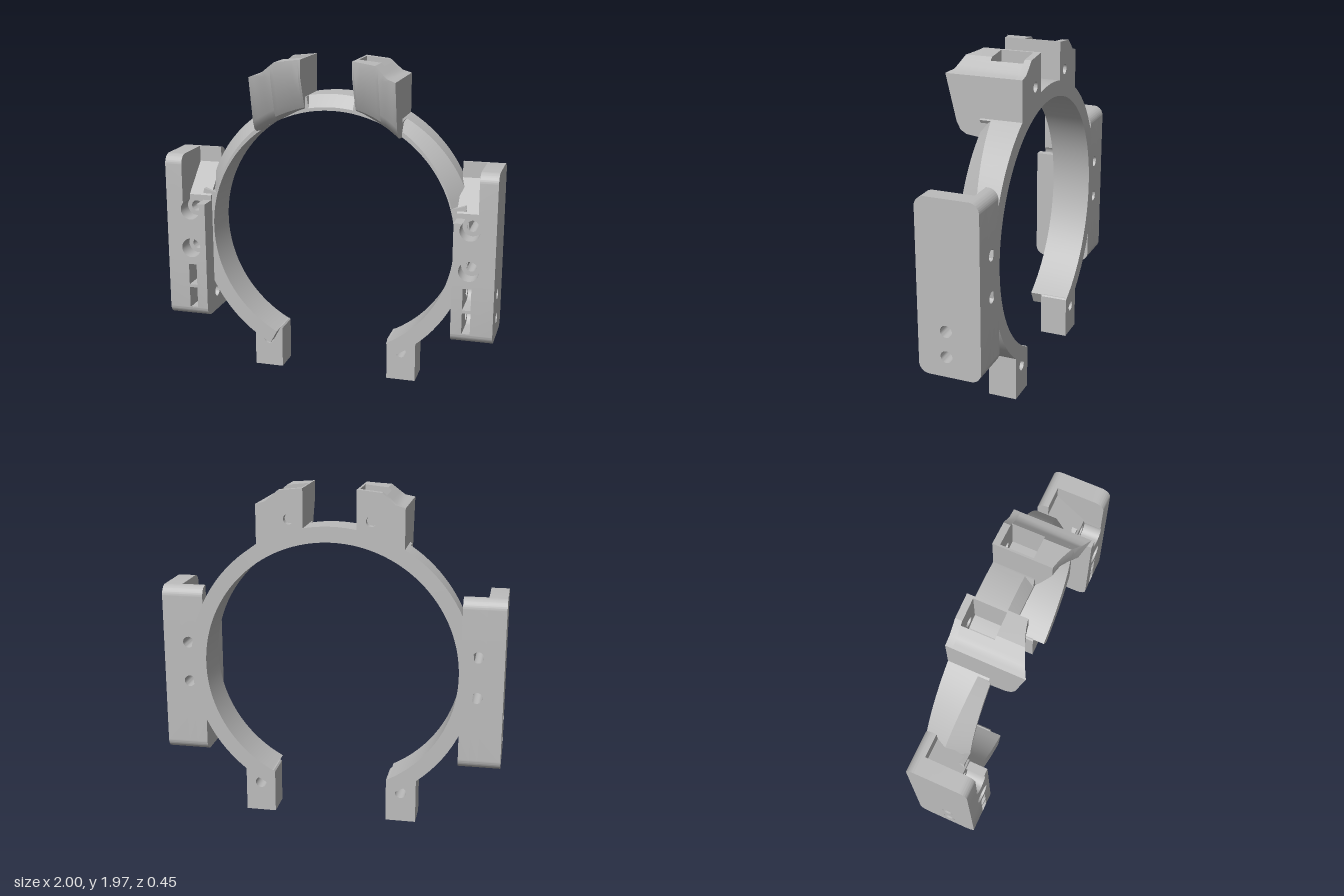
import * as THREE from 'three';
import { toCreasedNormals } from 'three/addons/utils/BufferGeometryUtils.js';

const PI = Math.PI, CY = 0.92, RI = 0.745, RO = 0.835, BACK = -0.23;
const V2 = (x, y) => new THREE.Vector2(x, y);

// Closed solid through a row of 2D profiles (counter-clockwise), placed by map(profilePoint, i)
function loft(profiles, map) {
  const pos = [], n = profiles[0].length, last = profiles.length - 1;
  const S = profiles.map((p, i) => p.map(q => map(q, i)));
  const tri = (a, b, c) => pos.push(...a, ...b, ...c);
  for (let i = 0; i < last; i++) for (let k = 0; k < n; k++) {
    const m = (k + 1) % n;
    tri(S[i][k], S[i][m], S[i + 1][m]);
    tri(S[i][k], S[i + 1][m], S[i + 1][k]);
  }
  const cap = i => THREE.ShapeUtils.triangulateShape(profiles[i].map(q => q.clone()), []);
  for (const [a, b, c] of cap(0)) tri(S[0][c], S[0][b], S[0][a]);
  for (const [a, b, c] of cap(last)) tri(S[last][a], S[last][b], S[last][c]);
  const g = new THREE.BufferGeometry();
  g.setAttribute('position', new THREE.Float32BufferAttribute(pos, 3));
  // turn the solid outward if its signed volume is negative
  let vol = 0;
  for (let i = 0; i < pos.length; i += 9) {
    const [a, b, c] = [0, 3, 6].map(o => new THREE.Vector3(pos[i + o], pos[i + o + 1], pos[i + o + 2]));
    vol += a.dot(b.cross(c));
  }
  return vol < 0 ? flip(g) : g;
}

// Reverse the corner order of every triangle
function flip(g) {
  const p = g.attributes.position.array;
  for (let i = 0; i < p.length; i += 9) for (let j = 3; j < 6; j++) {
    const t = p[i + j]; p[i + j] = p[i + j + 3]; p[i + j + 3] = t;
  }
  return g;
}

function mirrored(g) {
  const m = g.index ? g.toNonIndexed() : g.clone();
  m.scale(-1, 1, 1);
  return flip(m);
}

const circle = (x, y, r) => new THREE.Path().absarc(x, y, r, 0, 2 * PI, true);

function poly(points, holes = []) {
  const s = new THREE.Shape(points.map(p => V2(...p)));
  s.holes.push(...holes);
  return s;
}

const extrude = (shape, depth) =>
  new THREE.ExtrudeGeometry(shape, { depth, bevelEnabled: false, curveSegments: 14 });
const alongZ = (shape, z0, z1) => extrude(shape, z1 - z0).translate(0, 0, z0);
// shape drawn in (z, y), thickness along x
const alongX = (shape, x0, x1) => extrude(shape, x1 - x0).rotateY(-PI / 2).translate(x1, 0, 0);

// Open ring whose front outer edge is bevelled at the crown and shoulders
function ringGeometry() {
  const plain = [0.015, RO], stations = [];
  const span = (a, b, steps, f) => {
    for (let i = 0; i <= steps; i++) stations.push([a + (b - a) * i / steps, f(i / steps)]);
  };
  const shoulder = t => [-0.12 + 0.07 * t, 0.752 + 0.02 * t];
  span(-62.1, 16, 22, () => plain);
  span(16, 58.5, 14, shoulder);
  span(58.5, 80, 6, () => plain);
  span(80, 100, 6, () => [-0.04, 0.765]);
  span(100, 121.5, 6, () => plain);
  span(121.5, 164, 14, t => shoulder(1 - t));
  span(164, 242.1, 22, () => plain);
  const profiles = stations.map(([, [zc, r]]) =>
    [V2(RI, BACK), V2(RO, BACK), V2(RO, zc), V2(r, 0.015), V2(RI, 0.015)]);
  return loft(profiles, (q, i) => {
    const a = stations[i][0] * PI / 180;
    return [q.x * Math.cos(a), CY + q.x * Math.sin(a), q.y];
  });
}

// Horn: outline rules across x
const HORN_TOP = [[0.153, 1.965], [0.295, 1.95], [0.37, 1.885], [0.425, 1.87]];
function hornTop(x) {
  const i = x <= 0.295 ? 0 : x <= 0.37 ? 1 : 2;
  const [a, b] = [HORN_TOP[i], HORN_TOP[i + 1]];
  return a[1] + (b[1] - a[1]) * (x - a[0]) / (b[0] - a[0]);
}
const hornBottom = x => CY + Math.sqrt(RI * RI - x * x);

function hornParts() {
  const section = (x, pocket) => {
    const y = hornBottom(x), top = hornTop(x);
    const f = 0.112 + 0.108 * Math.pow((x - 0.153) / 0.272, 1.4);
    const p = [V2(-0.19, y), V2(0.03, y), V2(f - 0.12, y + 0.008), V2(f - 0.085, y + 0.03),
      V2(f - 0.062, y + 0.075), V2(f, 1.87), V2(f, top + 0.0005)];
    p[1].x = Math.min(0.03, f - 0.14);
    if (pocket) p.push(V2(0, top), V2(0, 1.72), V2(-0.19, 1.72));
    else p.push(V2(-0.19, top));
    return p;
  };
  const slab = (xs, pocket) => loft(xs.map(x => section(x, pocket)), (q, i) => [xs[i], q.y, q.x]);
  const outline = HORN_TOP.map(p => [...p]).reverse();
  for (let i = 0; i <= 8; i++) {
    const x = 0.153 + 0.272 * i / 8;
    outline.push([x, hornBottom(x)]);
  }
  return {
    hornBackWall: alongZ(poly(outline, [circle(0.235, 1.79, 0.03)]), BACK, -0.19),
    hornInnerWall: slab([0.153, 0.165]),
    hornPocket: slab([0.165, 0.2, 0.24, 0.27, 0.295, 0.315], true),
    hornOuterWall: slab([0.315, 0.345, 0.37, 0.4, 0.425]),
  };
}

// Side block: slotted lower part, bored middle, notched top
function blockParts() {
  const R = 0.06, FRONT = 0.135, LOW = 0.36, A = 0.725, B = 1.11, TOP = 1.375;
  const lower = slotted => {
    const s = new THREE.Shape();
    s.moveTo(BACK + R, LOW).lineTo(FRONT - R, LOW);
    s.absarc(FRONT - R, LOW + R, R, -PI / 2, 0);
    for (const c of [0.48, 0.63]) {
      if (slotted) {
        s.lineTo(FRONT, c - 0.066).lineTo(-0.03, c - 0.066);
        s.absarc(-0.03, c, 0.066, -PI / 2, PI / 2, true);
        s.lineTo(FRONT, c + 0.066);
      } else s.holes.push(circle(-0.03, c, 0.035));
    }
    s.lineTo(FRONT, A).lineTo(BACK, A).lineTo(BACK, LOW + R);
    s.absarc(BACK + R, LOW + R, R, PI, 1.5 * PI);
    return s;
  };
  const upper = notched => {
    const s = new THREE.Shape();
    s.moveTo(BACK, B);
    if (notched) s.lineTo(0.025, B).lineTo(-0.16, 1.28).lineTo(-0.16, TOP);
    else {
      s.lineTo(FRONT, B).lineTo(FRONT, TOP - R);
      s.absarc(FRONT - R, TOP - R, R, 0, PI / 2);
    }
    s.lineTo(BACK + R, TOP);
    s.absarc(BACK + R, TOP - R, R, PI / 2, PI);
    return s;
  };
  const boredBack = poly([[0.755, A], [1, A], [1, B], [0.755, B]],
    [circle(0.85, 0.8, 0.033), circle(0.85, 1.04, 0.033)]);
  // upper counterbore is open at the ledge
  const boredFront = new THREE.Shape();
  boredFront.moveTo(0.755, A).lineTo(1, A).lineTo(1, B).lineTo(0.895, B);
  const a = Math.atan2(0.04, 0.045);
  boredFront.absarc(0.85, 1.04, 0.06, a, PI - a, true);
  boredFront.lineTo(0.755, 1.08);
  boredFront.holes.push(circle(0.85, 0.8, 0.06));
  return {
    blockLowerInner: alongX(lower(false), 0.755, 0.82),
    blockSlots: alongX(lower(true), 0.82, 0.87),
    blockLowerOuter: alongX(lower(false), 0.87, 1),
    blockBores: alongZ(boredBack, BACK, 0.025),
    blockCounterbores: alongZ(boredFront, 0.025, FRONT),
    blockNotch: alongX(upper(true), 0.755, 0.895),
    blockUpperOuter: alongX(upper(false), 0.895, 1),
  };
}

export function createModel() {
  const model = new THREE.Group();
  model.name = 'ringBracket';
  const grey = new THREE.MeshStandardMaterial({ color: 0xbcbcbc });
  grey.name = 'plain grey';
  const add = (parent, name, geometry) => {
    const mesh = new THREE.Mesh(toCreasedNormals(geometry, 0.45), grey);
    mesh.name = name;
    parent.add(mesh);
  };

  add(model, 'ring', ringGeometry());

  // Foot with a screw hole
  const foot = poly([[0.337, 0], [0.515, 0], [0.515, 0.264], [0.345, 0.264], [0.337, 0.255]],
    [circle(0.425, 0.18, 0.033)]);
  const parts = { horn: hornParts(), sideBlock: blockParts(), foot: { footBlock: alongZ(foot, BACK, -0.06) } };

  for (const side of ['left', 'right']) for (const [name, geos] of Object.entries(parts)) {
    const group = new THREE.Group();
    group.name = side + name[0].toUpperCase() + name.slice(1);
    for (const [part, g] of Object.entries(geos)) add(group, part, side === 'left' ? g : mirrored(g));
    model.add(group);
  }
  return model;
}
